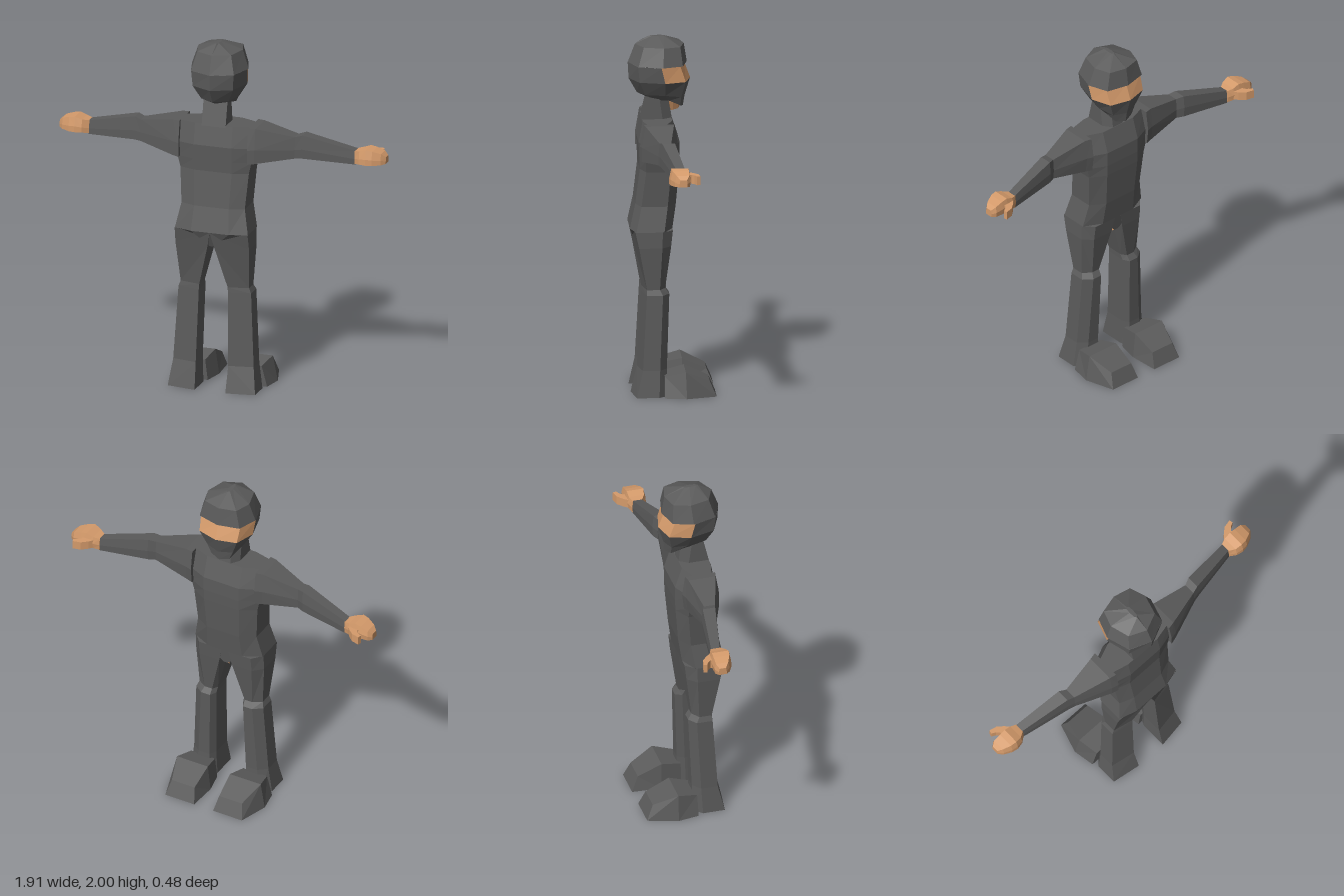
import * as THREE from 'three';

const cloth = new THREE.MeshStandardMaterial({ color: 0x5b5b5b });
cloth.name = 'charcoal cloth';
const skin = new THREE.MeshStandardMaterial({ color: 0xd59b6b });
skin.name = 'tan skin';

// Joins closed rings of [x, y, z] points with flat faces and capped ends.
// pick(ring, side) chooses which wall faces to keep; caps are ring -1.
function loft(name, material, rings, pick = () => true) {
  const all = [], kept = [];
  const n = rings[0].length, last = rings.length - 1;
  const tri = (keep, ...pts) => {
    all.push(pts);
    if (keep) kept.push(pts);
  };
  for (let i = 0; i < last; i++) {
    for (let j = 0; j < n; j++) {
      const k = (j + 1) % n, keep = pick(i, j);
      tri(keep, rings[i][j], rings[i][k], rings[i + 1][k]);
      tri(keep, rings[i][j], rings[i + 1][k], rings[i + 1][j]);
    }
  }
  const centre = ring => [0, 1, 2].map(a => ring.reduce((s, p) => s + p[a], 0) / n);
  const c0 = centre(rings[0]), c1 = centre(rings[last]);
  for (let j = 0; j < n; j++) {
    const k = (j + 1) % n;
    tri(pick(-1, j), c0, rings[0][k], rings[0][j]);
    tri(pick(-1, j), c1, rings[last][j], rings[last][k]);
  }
  // Turn faces outward whatever the ring direction
  const a = new THREE.Vector3(), b = new THREE.Vector3(), c = new THREE.Vector3();
  const volume = all.reduce((s, [p, q, r]) =>
    s + a.set(...p).dot(b.set(...q).cross(c.set(...r))), 0);
  const faces = volume < 0 ? kept.map(([p, q, r]) => [p, r, q]) : kept;
  const geometry = new THREE.BufferGeometry();
  geometry.setAttribute('position', new THREE.Float32BufferAttribute(faces.flat(2), 3));
  geometry.computeVertexNormals();
  const mesh = new THREE.Mesh(geometry, material);
  mesh.name = name;
  return mesh;
}

// Cross-sections
const torsoRing = ([y, w, zb, zf]) => {
  const inner = Math.min(0.11, w * 0.55);
  return [[inner, y, zb], [w, y, zb - 0.03], [w, y, zf + 0.05], [inner, y, zf],
    [-inner, y, zf], [-w, y, zf + 0.05], [-w, y, zb - 0.03], [-inner, y, zb]];
};

const legRing = ([y, xi, xo, zb, zf]) => {
  const d = zb - zf;
  return [[xi, y, zb], [xo, y, zb - 0.025], [xo, y, zf + d * 0.25],
    [xo - 0.05, y, zf], [xi + 0.02, y, zf], [xi, y, zf + d * 0.25]];
};

const armRing = ([x, yt, yb, zb, zf]) => {
  const d = zb - zf, h = yt - yb;
  return [[x, yt, zb - d * 0.1], [x, yt, zf + d * 0.08], [x, yt - h * 0.55, zf],
    [x, yb, zf + d * 0.05], [x, yb, zb], [x, yt - h * 0.6, zb]];
};

// Head ring: lower front points drop by "drop" to make the chin
const headRing = ([y, w, zb, zf, drop = 0]) => {
  const d = zb - zf, mid = zf + d * 0.43, s = w * 0.76;
  return [[0, y, zb], [s, y, zb - d * 0.16], [w, y, mid], [s, y - drop * 0.7, zf + d * 0.09],
    [0, y - drop, zf], [-s, y - drop * 0.7, zf + d * 0.09], [-w, y, mid], [-s, y, zb - d * 0.16]];
};

const footRing = ([zTop, zBot, yt, ti, to, bi, bo]) =>
  [[ti, yt, zTop], [to, yt, zTop], [bo, 0, zBot], [bi, 0, zBot]];

export function createModel() {
  const model = new THREE.Group();
  model.name = 'figure';

  // Torso, tapering into the crotch
  model.add(loft('torso', cloth, [
    [0.84, 0.022, 0.2, 0.012], [0.93, 0.213, 0.235, 0], [1.07, 0.185, 0.205, -0.02],
    [1.27, 0.2, 0.18, -0.037], [1.335, 0.215, 0.183, -0.04], [1.42, 0.225, 0.187, -0.04],
    [1.54, 0.235, 0.165, 0],
  ].map(torsoRing)));

  // Small patch under the crotch
  model.add(loft('crotchPatch', skin, [0.834, 0.839].map(y =>
    [[0.02, y, 0.09], [0.02, y, 0.02], [-0.02, y, 0.02], [-0.02, y, 0.09]])));

  // Neck
  model.add(loft('neck', cloth, [[1.53, 0.168, 0], [1.67, 0.135, 0.02]].map(([y, zb, zf]) =>
    [[0.07, y, zb], [0.07, y, zf + 0.05], [0.035, y, zf],
      [-0.035, y, zf], [-0.07, y, zf + 0.05], [-0.07, y, zb]])));

  // Hooded head with an opening for the eyes
  const head = new THREE.Group();
  head.name = 'head';
  const headRings = [
    [1.645, 0.075, 0.12, -0.065, 0.045], [1.68, 0.105, 0.19, -0.075, 0.02],
    [1.76, 0.155, 0.235, -0.105], [1.85, 0.163, 0.24, -0.072],
    [1.851, 0.165, 0.24, -0.087], [1.955, 0.13, 0.2, -0.07], [2, 0.012, 0.12, 0.035],
  ].map(headRing);
  const isFace = (i, j) => i === 2 && j >= 2 && j <= 5;
  head.add(
    loft('hood', cloth, headRings, (i, j) => !isFace(i, j)),
    loft('eyeBand', skin, headRings, isFace));
  model.add(head);

  // Limbs, mirrored
  for (const [side, sign] of [['left', 1], ['right', -1]]) {
    const add = (part, material, rings) => model.add(loft(side + part, material,
      rings.map(ring => ring.map(([x, y, z]) => [x * sign, y, z]))));

    add('Arm', cloth, [
      [0.2, 1.54, 1.335, 0.185, -0.025], [0.24, 1.54, 1.34, 0.175, -0.015],
      [0.45, 1.495, 1.372, 0.1, 0.022], [0.49, 1.505, 1.373, 0.09, 0.003],
      [0.78, 1.43, 1.352, 0.03, -0.03],
    ].map(armRing));

    add('Hand', skin, [
      [0.775, 1.43, 1.357, 0.032, -0.032], [0.81, 1.438, 1.365, 0.058, -0.048],
      [0.85, 1.452, 1.365, 0.066, -0.05], [0.885, 1.445, 1.365, 0.06, -0.05],
      [0.93, 1.43, 1.367, 0.038, -0.048], [0.953, 1.41, 1.37, 0.015, -0.03],
    ].map(armRing));

    // Thumb bends forward and outward: outer x, z then inner x, z
    add('Thumb', skin, [
      [0.805, -0.04, 0.875, -0.04], [0.825, -0.065, 0.87, -0.055],
      [0.86, -0.095, 0.885, -0.072], [0.905, -0.105, 0.91, -0.085],
    ].map(([xo, zo, xi, zi]) =>
      [[xo, 1.42, zo], [xi, 1.42, zi], [xi, 1.37, zi], [xo, 1.37, zo]]));

    add('Leg', cloth, [
      [0.93, 0, 0.213, 0.235, 0], [0.84, 0.02, 0.215, 0.215, 0.01],
      [0.6, 0.083, 0.2, 0.17, 0.042], [0.57, 0.085, 0.212, 0.172, 0.02],
      [0.15, 0.095, 0.235, 0.195, 0.035], [0, 0.09, 0.255, 0.23, 0.03],
    ].map(legRing));

    add('Foot', cloth, [
      [0.05, 0.05, 0.118, 0.09, 0.24, 0.075, 0.272],
      [-0.065, -0.07, 0.145, 0.07, 0.265, 0.05, 0.293],
      [-0.2, -0.237, 0.085, 0.078, 0.222, 0.06, 0.242],
    ].map(footRing));
  }
  return model;
}
